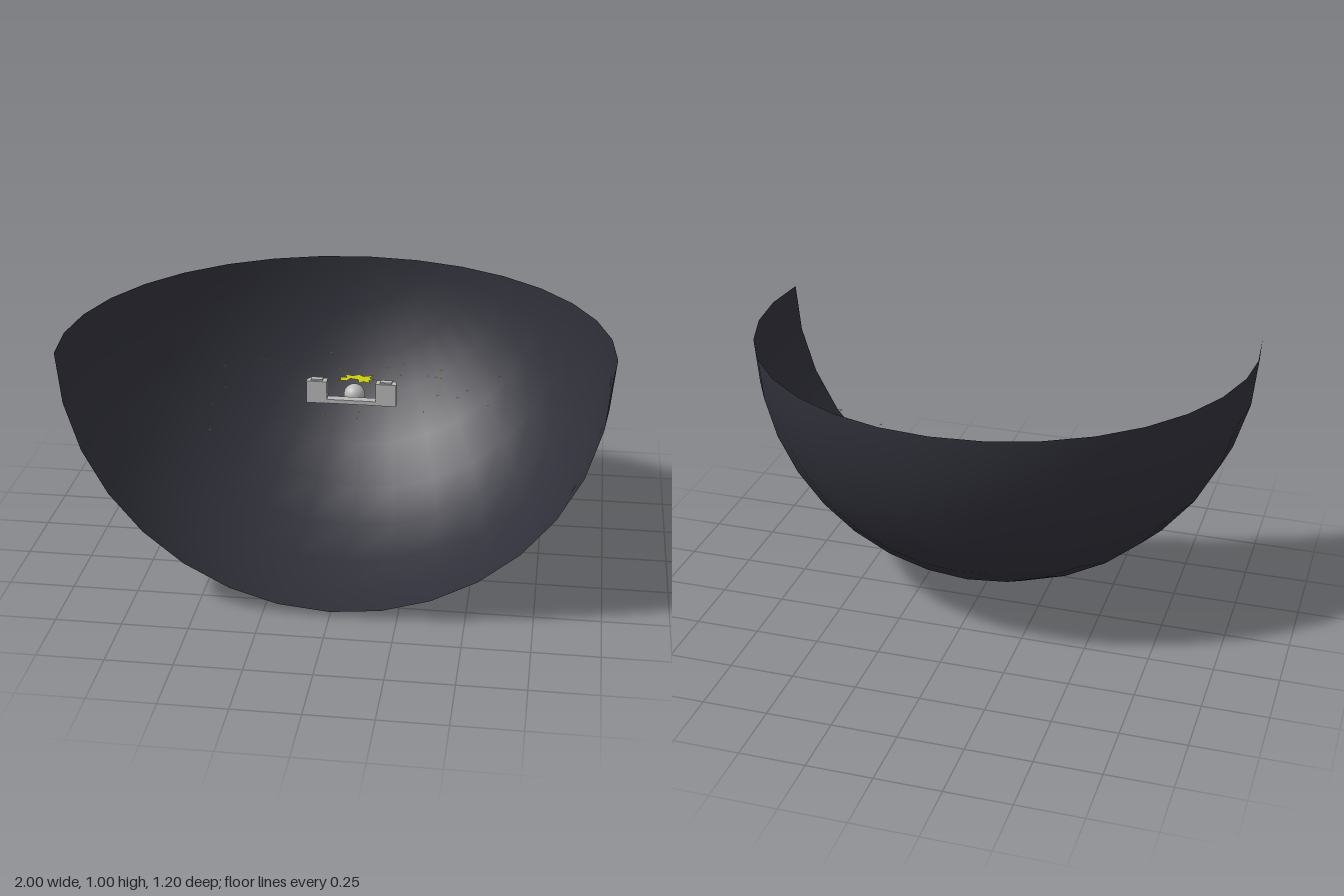
import * as THREE from 'three';

const mat = (name, color, side = THREE.FrontSide) => {
  const m = new THREE.MeshStandardMaterial({ color, side });
  m.name = name;
  return m;
};

export function createModel() {
  const group = new THREE.Group();
  const dark = mat('dark slate', 0x30303a, THREE.DoubleSide);
  const grey = mat('light grey', 0xb8b8b8);
  const yellow = mat('acid yellow', 0xc8cc14, THREE.DoubleSide);

  const add = (name, geometry, material, x = 0, y = 0, z = 0, parent = group) => {
    const mesh = new THREE.Mesh(geometry, material);
    mesh.name = name;
    mesh.position.set(x, y, z);
    parent.add(mesh);
    return mesh;
  };

  // Open backdrop: half a sphere's lower side, one ring past its equator
  const bowl = new THREE.SphereGeometry(1, 16, 9, Math.PI, Math.PI, 0, Math.PI * 9 / 16);
  bowl.rotateX(-Math.PI / 2);
  add('backdropBowl', bowl, dark, 0, 1, 0.4);

  // U-shaped bracket, its ends chamfered towards the back
  const bracket = new THREE.Group();
  bracket.name = 'bracket';
  group.add(bracket);
  add('bracketBar', new THREE.BoxGeometry(0.2, 0.016, 0.036), grey, 0, 0.601, -0.035, bracket);
  for (const s of [-1, 1]) {
    const outline = new THREE.Shape([[0.095, 0.015], [0.175, 0.015], [0.175, 0.038], [0.163, 0.055], [0.095, 0.055]]
      .map(([x, z]) => new THREE.Vector2(s * x, z)));
    const post = new THREE.ExtrudeGeometry(outline, { depth: 0.09, bevelEnabled: false });
    post.rotateX(-Math.PI / 2);
    add('bracketPost', post, grey, 0, 0.593, 0, bracket);
    add('bracketCap', new THREE.BoxGeometry(0.045, 0.006, 0.025), grey, s * 0.135, 0.686, -0.035, bracket);
  }

  // Ball behind the bracket
  add('ball', new THREE.SphereGeometry(0.042, 20, 14), grey, 0, 0.595, -0.115);

  // Ragged horizontal splash above the ball
  const splash = new THREE.Shape([
    [-0.075, 0.1], [-0.055, 0.125], [-0.06, 0.15], [-0.035, 0.15], [-0.045, 0.185], [-0.015, 0.17], [0.01, 0.185],
    [0.03, 0.168], [0.07, 0.185], [0.055, 0.155], [0.08, 0.14], [0.055, 0.13], [0.065, 0.1], [0.035, 0.115],
    [0.02, 0.095], [0.015, 0.13], [-0.02, 0.14], [-0.03, 0.115], [-0.05, 0.115],
  ].map(([x, z]) => new THREE.Vector2(x, z)));
  add('splash', new THREE.ShapeGeometry(splash).rotateX(-Math.PI / 2), yellow, 0, 0.65, 0);

  // Scattered flat sparks, each a tiny four-pointed star: [x, y, z]
  const star = new THREE.Shape(Array.from({ length: 8 }, (_, i) => {
    const r = i % 2 ? 0.003 : 0.01;
    return new THREE.Vector2(r * Math.cos(i * Math.PI / 4), r * Math.sin(i * Math.PI / 4));
  }));
  const spark = new THREE.ShapeGeometry(star).rotateX(-Math.PI / 2);
  const sparks = new THREE.Group();
  sparks.name = 'sparks';
  group.add(sparks);
  [
    [-0.5, 0.71, -0.06], [-0.53, 0.52, 0.13], [-0.53, 0.6, 0.07], [-0.49, 0.65, 0.01], [-0.34, 0.75, -0.045],
    [-0.3, 0.68, -0.19], [-0.2, 0.66, -0.095], [-0.21, 0.7, -0.245], [-0.145, 0.66, -0.31], [-0.12, 0.68, -0.33],
    [-0.07, 0.65, -0.235], [-0.03, 0.64, -0.235], [-0.06, 0.55, 0.13], [-0.1, 0.56, 0.03], [0.035, 0.58, 0.02],
    [0.03, 0.56, 0.04], [0.12, 0.66, -0.245], [0.17, 0.65, -0.2], [0.18, 0.68, -0.245], [0.28, 0.64, -0.23],
    [0.31, 0.63, -0.245], [0.32, 0.57, -0.38], [0.32, 0.62, -0.345], [0.34, 0.66, 0.005], [0.29, 0.62, 0.08],
    [0.445, 0.66, -0.055], [0.42, 0.68, 0.065], [0.565, 0.75, 0.005], [0.535, 0.66, 0.08],
  ].forEach(([x, y, z]) => add('spark', spark, yellow, x, y, z, sparks));

  return group;
}
